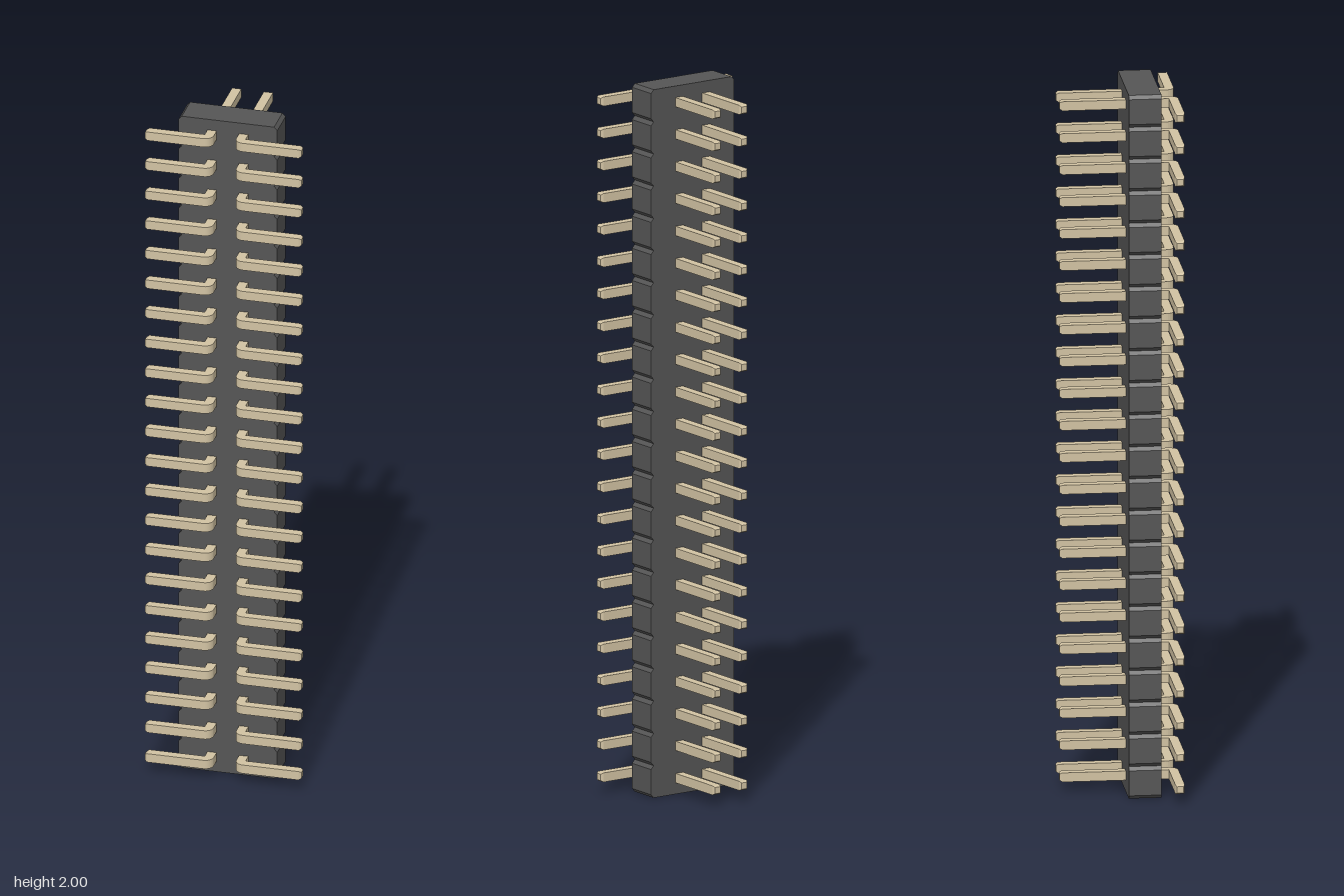
import * as THREE from 'three';
import { mergeGeometries } from 'three/addons/utils/BufferGeometryUtils.js';

const ROWS = 22, PITCH = 2 / ROWS;
const T = 0.026;          // pin thickness
const TIP = 0.007;        // length of the tapered pin tips
const IN = 0.032, OUT = IN + T;   // pin shank, inner and outer x
const BACK = -0.165, FRONT = 0.162, REACH = 0.222;

// Square frustum that tapers towards +y, base at y = 0
function tip() {
  return new THREE.CylinderGeometry(0.009 * Math.SQRT2, T / 2 * Math.SQRT2, TIP, 4)
    .rotateY(Math.PI / 4).translate(0, TIP / 2, 0).toNonIndexed();
}

// L-shaped pin: straight shank to the back, rounded outer bend, foot to the side
function pinGeometry(side) {
  const s = new THREE.Shape();
  const r = 0.024, end = REACH - TIP;
  s.moveTo(side * IN, BACK + TIP);
  s.lineTo(side * OUT, BACK + TIP);
  s.lineTo(side * OUT, FRONT - T);
  s.lineTo(side * end, FRONT - T);
  s.lineTo(side * end, FRONT);
  for (let i = 0; i <= 6; i++) {
    const a = i / 6 * Math.PI / 2;
    s.lineTo(side * (IN + r - r * Math.sin(a)), FRONT - r + r * Math.cos(a));
  }
  s.closePath();
  const bar = new THREE.ExtrudeGeometry(s, { depth: T, bevelEnabled: false })
    .translate(0, 0, -T / 2).rotateX(Math.PI / 2);
  const backTip = tip().rotateX(-Math.PI / 2).translate(side * (IN + OUT) / 2, 0, BACK + TIP);
  const footTip = tip().rotateZ(-side * Math.PI / 2).translate(side * end, 0, FRONT - T / 2);
  return mergeGeometries([bar, backTip, footTip]);
}

// Housing outline: one chamfered segment per row, repeated on both sides
function housingGeometry() {
  const wide = 0.14, narrow = 0.131, c = 0.01;
  const right = [];
  for (let i = 0; i < ROWS; i++) {
    const y = i * PITCH;
    right.push([narrow, y], [wide, y + c], [wide, y + PITCH - c]);
  }
  right.push([narrow, 2]);
  const left = right.map(([x, y]) => [-x, y]).reverse();
  const shape = new THREE.Shape([...right, ...left].map(([x, y]) => new THREE.Vector2(x, y)));
  return new THREE.ExtrudeGeometry(shape, { depth: 0.09, bevelEnabled: false }).translate(0, 0, 0.017);
}

export function createModel() {
  const model = new THREE.Group();
  model.name = 'pinHeader';

  const plastic = new THREE.MeshStandardMaterial({ color: 0x555555, flatShading: true });
  const metal = new THREE.MeshStandardMaterial({ color: 0xd2c3a3, flatShading: true });

  const housing = new THREE.Mesh(housingGeometry(), plastic);
  housing.name = 'housing';
  model.add(housing);

  // Two mirrored columns of pins
  for (const side of [1, -1]) {
    const column = new THREE.Group();
    column.name = side > 0 ? 'leftPins' : 'rightPins';
    const geometry = pinGeometry(side);
    for (let i = 0; i < ROWS; i++) {
      const pin = new THREE.Mesh(geometry, metal);
      pin.name = 'pin';
      pin.position.y = (i + 0.5) * PITCH;
      column.add(pin);
    }
    model.add(column);
  }
  return model;
}
